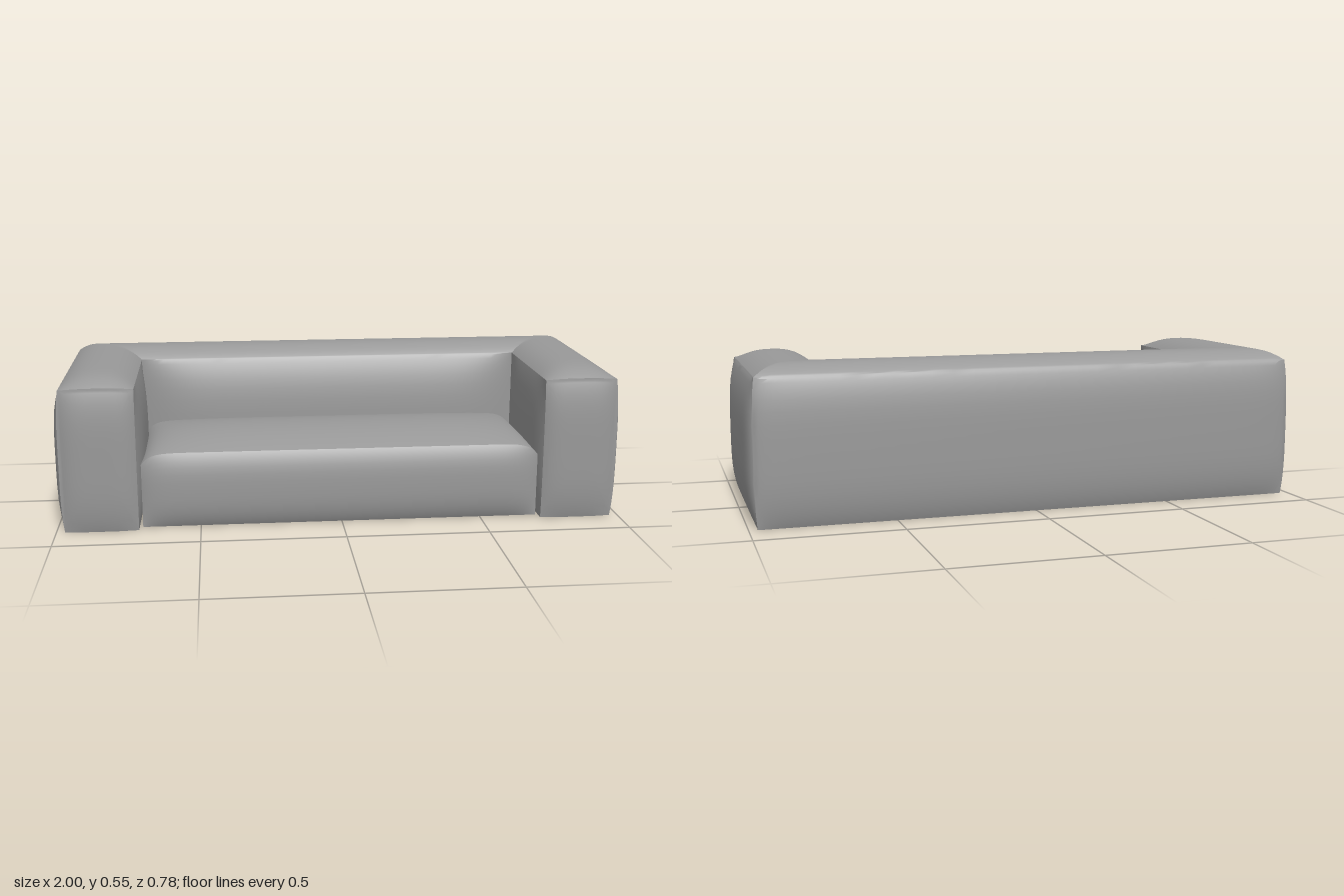
import * as THREE from 'three';
import { toCreasedNormals } from 'three/addons/utils/BufferGeometryUtils.js';

const material = new THREE.MeshStandardMaterial({ color: 0x999999 });
const H = 0.505;      // height of the top seam
const FRONT = 0.36;   // front corners of the arms
const BACK = -0.39;   // rear face
const DEPTH = 0.88;   // back is a little thinner than the arms

// 0 at both ends, 1 in the middle; a higher power gives a flatter middle
const pillow = (t, power) => 1 - Math.abs(2 * t - 1) ** power;
// The same, but the seams themselves bow out a little
const bowed = (t, power) => 0.3 + 0.7 * pillow(THREE.MathUtils.clamp(t, 0, 1), power);
const ease = (t) => (1 - Math.cos(Math.PI * t)) / 2;

// Closed cross-section: [depth from outside, height] with bulges o, c, i
// on the outer wall, the crown and the inner wall
function section(o, c, i) {
  const pts = [], n = 16;
  for (let k = 0; k < n; k++) {
    const t = ease(k / n);
    pts.push([0.03 - 0.03 * o * pillow(t, 4), H * t]);
  }
  for (let k = 0; k < n; k++) {
    const t = ease(k / n);
    pts.push([0.03 + 0.255 * t, H + 0.04 * c * pillow(t, 2.6)]);
  }
  for (let k = 0; k < n; k++) {
    const t = ease(k / n);
    pts.push([0.285 + 0.025 * i * pillow(t, 3), H * (1 - t)]);
  }
  for (let k = 0; k < 4; k++) pts.push([0.285 - 0.255 * k / 4, 0]);
  return pts;
}

// Puffed front face of an arm
const frontZ = (d, y) => FRONT + 0.028 * bowed((d - 0.03) / 0.255, 4) * bowed(y / H, 4);

// Rows of one arm, from the middle of its front cap to the mitre
function armRows(side) {
  const rows = [];
  const end = section(0.3, 0.15, 0);
  for (let k = 0; k < 14; k++) {
    const s = Math.sin((k / 14) * Math.PI / 2);
    rows.push(end.map(([d0, y0]) => {
      const d = 0.157 + (d0 - 0.157) * s, y = 0.25 + (y0 - 0.25) * s;
      return [side * (1 - d), y, frontZ(d, y)];
    }));
  }
  for (let k = 0; k <= 28; k++) {
    const t = ease(k / 28);
    const pts = section(bowed(t, 9), 1 - 0.85 * (1 - t) ** 12, pillow(t, 4));
    rows.push(pts.map(([d, y], j) => {
      const z0 = frontZ(...end[j]);
      return [side * (1 - d), y, z0 + (BACK + DEPTH * d - z0) * t];
    }));
  }
  return rows;
}

// Rows of the back, between the two mitres
function backRows() {
  const rows = [];
  for (let k = 1; k < 40; k++) {
    const t = ease(k / 40);
    const pts = section(bowed(t, 20), 1, 2 * pillow(t, 10));
    rows.push(pts.map(([d, y]) => [(1 - d) * (1 - 2 * t), y, BACK + DEPTH * d]));
  }
  return rows;
}

// Skin a list of closed rings
function loft(rows) {
  const n = rows[0].length, index = [];
  for (let r = 0; r < rows.length - 1; r++) {
    for (let j = 0; j < n; j++) {
      const a = r * n + j, d = r * n + (j + 1) % n;
      index.push(a, a + n, d + n, a, d + n, d);
    }
  }
  const geo = new THREE.BufferGeometry();
  geo.setAttribute('position', new THREE.Float32BufferAttribute(rows.flat(2), 3));
  geo.setIndex(index);
  return toCreasedNormals(geo, 0.6);
}

// Cushion: a finely divided box puffed out on the top and the front
function seatGeometry() {
  const w = 1.405, h = 0.27, z0 = -0.128, z1 = 0.34;
  const geo = new THREE.BoxGeometry(1, 1, 1, 48, 14, 24);
  const p = geo.attributes.position;
  for (let k = 0; k < p.count; k++) {
    const u = ease(p.getX(k) + 0.5), v = ease(p.getY(k) + 0.5), t = ease(p.getZ(k) + 0.5);
    const edge = Math.abs(2 * u - 1) ** 24;
    const y = 0.003 + v * (h - 0.003 - 0.04 * edge)
      + v ** 8 * 0.04 * pillow(u, 6) * pillow(t, 2);
    const z = z0 + (z1 - z0) * t + t ** 8 * 0.025 * pillow(v, 3) * pillow(u, 16);
    p.setXYZ(k, w * (u - 0.5), y, z);
  }
  geo.deleteAttribute('normal');
  geo.deleteAttribute('uv');
  return toCreasedNormals(geo, 0.6);
}

export function createModel() {
  const model = new THREE.Group();
  model.name = 'sofa';

  // Arms and back as one upholstered U with mitred corners
  const rows = [...armRows(1), ...backRows(), ...armRows(-1).reverse()];
  const frame = new THREE.Mesh(loft(rows), material);
  frame.name = 'armsAndBack';

  const seat = new THREE.Mesh(seatGeometry(), material);
  seat.name = 'seat';

  model.add(frame, seat);
  return model;
}
